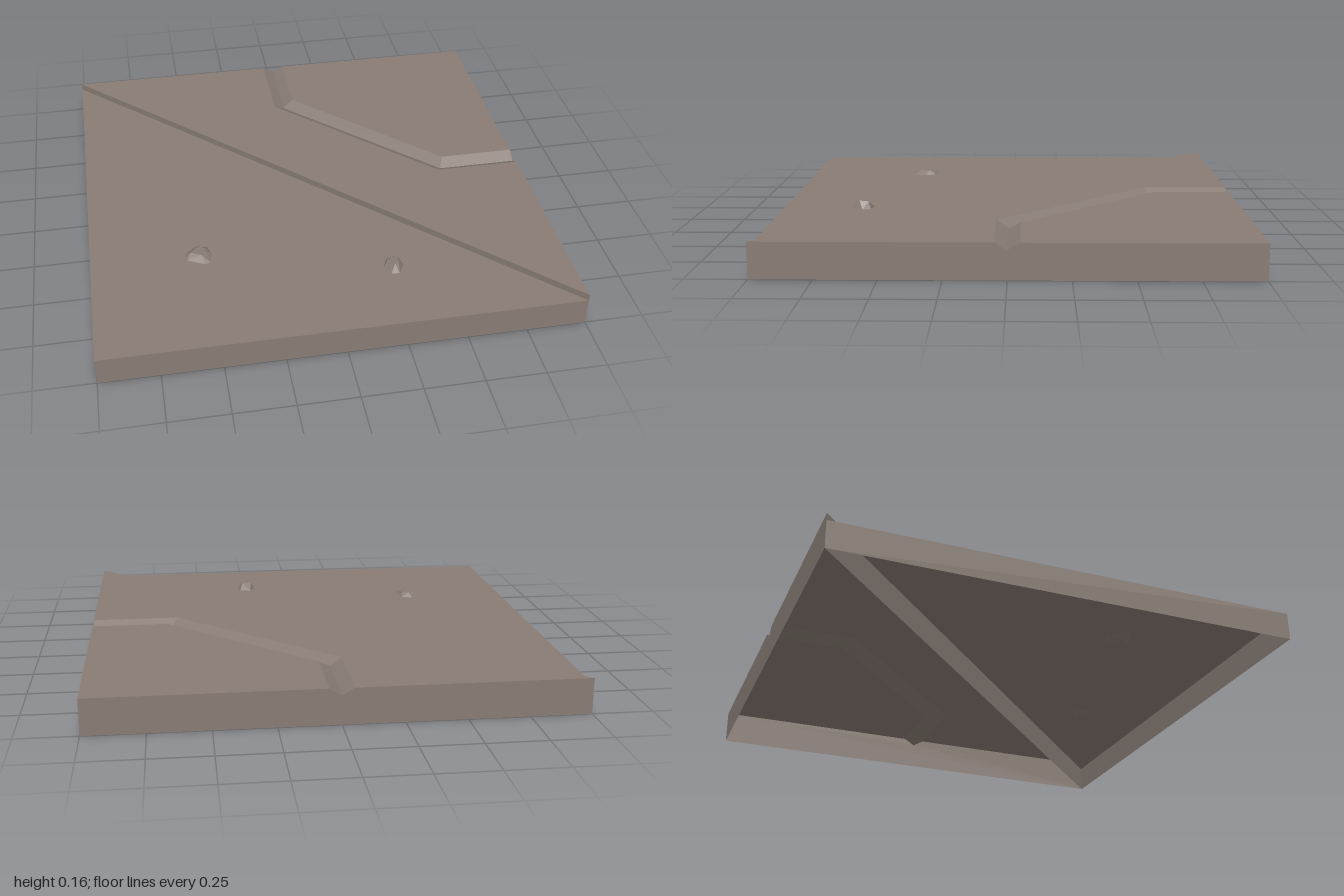
import * as THREE from 'three';
import { ConvexGeometry } from 'three/addons/geometries/ConvexGeometry.js';

const LOW = 0.12, HIGH = 0.15; // heights of the two slabs

export function createModel() {
  const group = new THREE.Group();
  const stone = new THREE.MeshStandardMaterial({ color: 0x887c74, side: THREE.DoubleSide });
  stone.name = 'stone';

  const add = (name, geometry) => {
    const mesh = new THREE.Mesh(geometry, stone);
    mesh.name = name;
    group.add(mesh);
    return mesh;
  };
  const flat = (pts) => new THREE.ShapeGeometry(
    new THREE.Shape(pts.map(([a, b]) => new THREE.Vector2(a, b))));

  // Horizontal surface from [x, z] corners
  const deck = (name, y, pts) => {
    const g = flat(pts.map(([x, z]) => [x, -z]));
    g.rotateX(-Math.PI / 2);
    add(name, g).position.y = y;
  };

  // Groove lines: outer lip, V bottom, inner lip
  const outer = [[-0.05, -1], [-0.05, -0.62], [0.62, 0.05], [1, 0.05]];
  const bottom = [[0, -1], [0, -0.645], [0.645, 0], [1, 0]];
  const inner = [[0.05, -1], [0.05, -0.665], [0.665, -0.05], [1, -0.05]];

  deck('lowerSlabTop', LOW, [[-1, -1], [-1, 1], [1, 1]]);
  deck('upperSlabTop', HIGH, [[-1, -1], [1, 1], ...[...outer].reverse()]);
  deck('cornerSlabTop', HIGH, [...inner, [1, -1]]);

  // Sloped groove sides, one quad per segment
  const slope = (name, a, ya, b, yb) => {
    const p = [];
    for (let i = 0; i < 3; i++) {
      const q = [[a[i], ya], [a[i + 1], ya], [b[i + 1], yb], [b[i], yb]]
        .map(([[x, z], y]) => [x, y, z]);
      for (const k of [0, 1, 2, 0, 2, 3]) p.push(...q[k]);
    }
    const g = new THREE.BufferGeometry();
    g.setAttribute('position', new THREE.Float32BufferAttribute(p, 3));
    g.computeVertexNormals();
    add(name, g);
  };
  slope('grooveOuterSide', outer, HIGH, bottom, LOW);
  slope('grooveInnerSide', bottom, LOW, inner, HIGH);

  // Walls; the underside stays open
  const wall = (name, angle, distance, halfWidth, height, notched) => {
    const notch = notched ? [[0.05, HIGH], [0, LOW], [-0.05, HIGH]] : [];
    const g = flat([[-halfWidth, 0], [halfWidth, 0], [halfWidth, height], ...notch, [-halfWidth, height]]);
    g.translate(0, 0, distance);
    g.rotateY(angle);
    add(name, g);
  };
  wall('frontWall', 0, 1, 1, LOW, false);
  wall('leftWall', Math.PI / 2, 1, 1, HIGH, true);
  wall('backWall', Math.PI, 1, 1, HIGH, true);
  wall('rightWall', -Math.PI / 2, 1, 1, LOW, false);
  wall('diagonalStep', -Math.PI / 4, 0, Math.SQRT2, HIGH, false);

  // Half-buried faceted pebbles; points are relative to the lower slab
  const pebble = (name, x, z, pts) => {
    const g = new ConvexGeometry(pts.map((p) => new THREE.Vector3(...p)));
    add(name, g).position.set(x, LOW, z);
  };
  pebble('widePebble', -0.54, 0.44, [
    [-0.06, 0, -0.01], [-0.052, 0, 0.025], [0.02, 0, 0.062], [0.045, 0, 0.055],
    [0.055, 0, 0], [0.04, 0, -0.05], [-0.01, 0, -0.06],
    [-0.035, 0.02, 0], [0.01, 0.022, 0.025], [0.03, 0.02, -0.02], [0, 0.02, -0.035],
    [-0.025, -0.022, 0.01], [0.025, -0.022, -0.02], [0.015, -0.022, 0.03],
  ]);
  pebble('tallPebble', 0.265, 0.65, [
    [-0.045, 0, 0.005], [-0.02, 0, 0.048], [0.015, 0, 0.05], [0.043, 0, 0],
    [0.03, 0, -0.035], [-0.02, 0, -0.048],
    [-0.025, 0.032, -0.01], [0, 0.035, 0.025], [0.018, 0.035, 0.015], [0.02, 0.033, -0.025],
    [-0.02, -0.015, 0], [0.02, -0.015, 0.015], [0.01, -0.015, -0.02],
  ]);

  return group;
}
